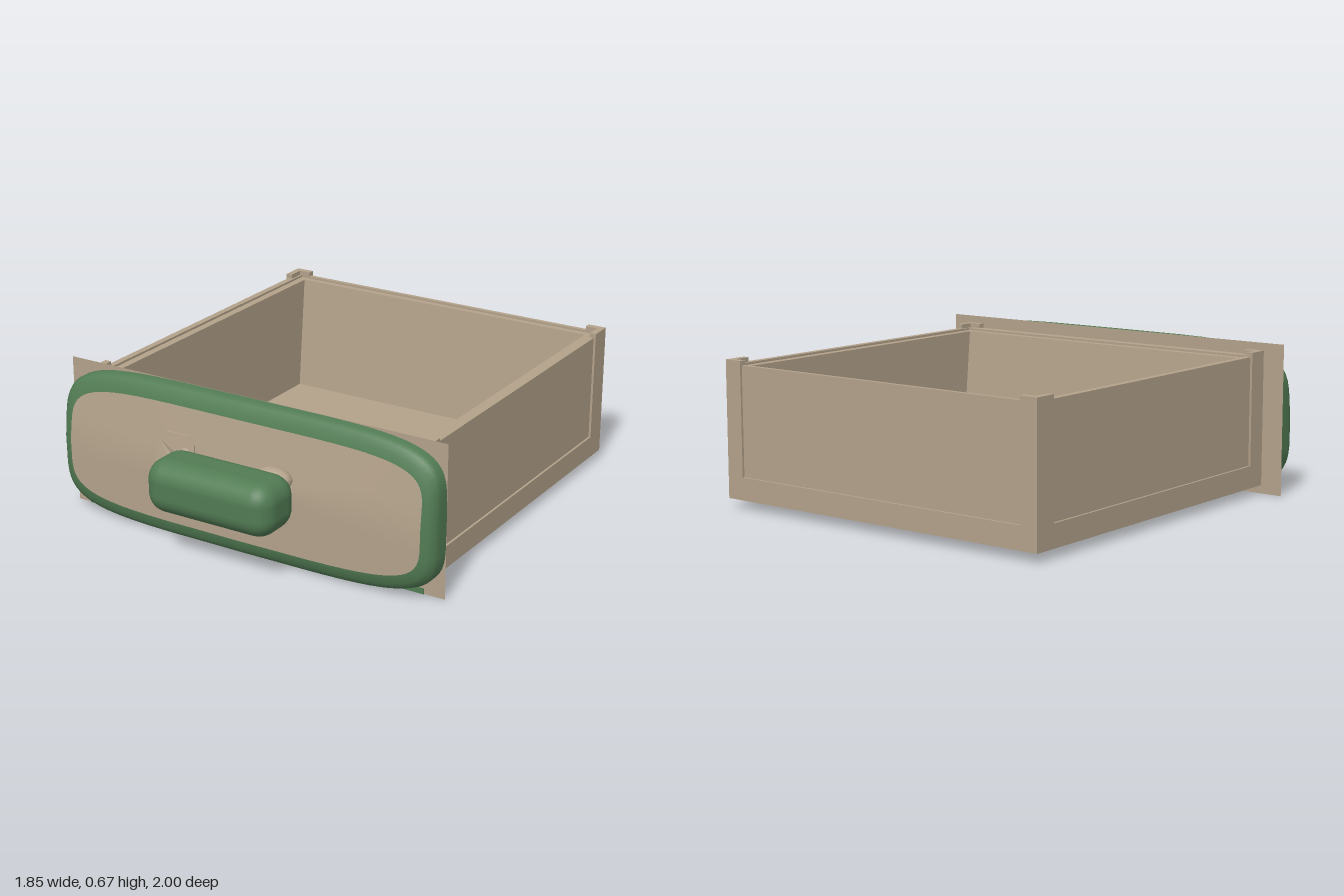
import * as THREE from 'three';
import { RoundedBoxGeometry } from 'three/addons/geometries/RoundedBoxGeometry.js';

const mat = (name, color, side = THREE.FrontSide) => {
  const m = new THREE.MeshStandardMaterial({ color, side });
  m.name = name;
  return m;
};

// Depth of the bowed drawer front: fullest low down, leaning back at the top
const frontDepth = (x, y) =>
  (0.12 - 0.16 * Math.max(0, y - 0.35)) * (1 - 0.1 * (x / 0.925) ** 2);

// Skin over rounded-rectangle rings given as [halfWidth, halfHeight, centreY, depthFraction]
function ringSkin(rings, n = 5, seg = 64) {
  const pos = [], idx = [];
  const pw = v => Math.sign(v) * Math.abs(v) ** (2 / n);
  rings.forEach(([hx, hy, cy, t]) => {
    for (let j = 0; j < seg; j++) {
      const a = (j / seg) * Math.PI * 2;
      const x = hx * pw(Math.cos(a)), y = cy + hy * pw(Math.sin(a));
      pos.push(x, y, 0.64 + t * frontDepth(x, y));
    }
  });
  for (let i = 0; i < rings.length - 1; i++) {
    for (let j = 0; j < seg; j++) {
      const a = i * seg + j, b = i * seg + (j + 1) % seg;
      idx.push(a, b, b + seg, a, b + seg, a + seg);
    }
  }
  const g = new THREE.BufferGeometry();
  g.setAttribute('position', new THREE.Float32BufferAttribute(pos, 3));
  g.setIndex(idx);
  g.computeVertexNormals();
  return g;
}

export function createModel() {
  const group = new THREE.Group();
  const wood = mat('tan wood', 0xb3a28b);
  const panel = mat('tan wood sheet', 0xb3a28b, THREE.DoubleSide);
  const green = mat('green paint', 0x527c54);

  const add = (name, geo, m) => {
    const mesh = new THREE.Mesh(geo, m);
    mesh.name = name;
    group.add(mesh);
    return mesh;
  };
  // Box from its limits on each axis
  const box = (name, x0, x1, y0, y1, z0, z1, m = wood) =>
    add(name, new THREE.BoxGeometry(Math.abs(x1 - x0), y1 - y0, Math.abs(z1 - z0)), m)
      .position.set((x0 + x1) / 2, (y0 + y1) / 2, (z0 + z1) / 2);

  // Floor, recessed a little underneath
  box('floor', -0.755, 0.755, 0.05, 0.08, -0.94, 0.54);

  // Side walls with a stepped rim, bottom rail and corner posts
  for (const s of [-1, 1]) {
    box('sideWallInner', s * 0.755, s * 0.79, 0.04, 0.61, -0.97, 0.575);
    box('sideWallOuter', s * 0.79, s * 0.82, 0.04, 0.62, -0.99, 0.62);
    box('sideRail', s * 0.82, s * 0.83, 0.04, 0.14, -1, 0.63);
    box('sidePost', s * 0.8, s * 0.83, 0.04, 0.64, -1, -0.895);
    box('sidePost', s * 0.8, s * 0.83, 0.04, 0.64, 0.535, 0.63);
  }

  // Front and back walls: inner faces slope in towards the floor
  const ends = [
    { name: 'front', top: 0.54, low: 0.49, mid: 0.575, out: 0.62, face: 0.63 },
    { name: 'back', top: -0.94, low: -0.89, mid: -0.97, out: -0.99, face: -1 },
  ];
  for (const e of ends) {
    const shape = new THREE.Shape([
      [e.mid, 0.04], [e.mid, 0.61], [e.top, 0.61], [e.low, 0.08], [e.top, 0.08], [e.top, 0.04],
    ].map(p => new THREE.Vector2(...p)));
    const g = new THREE.ExtrudeGeometry(shape, { depth: 1.51, bevelEnabled: false });
    g.rotateY(-Math.PI / 2).translate(0.755, 0, 0);
    add(e.name + 'WallInner', g, wood);
    box(e.name + 'WallOuter', -0.79, 0.79, 0.04, 0.62, e.mid, e.out);
    box(e.name + 'Rail', -0.82, 0.82, 0.04, 0.14, e.out, e.face);
    for (const s of [-1, 1]) {
      box(e.name + 'Post', s * 0.745, s * 0.8, 0.04, 0.64, e.face - Math.sign(e.face) * 0.03, e.face);
    }
  }

  // Flat sheet behind the front, with a painted lower edge
  add('frontSheet', new THREE.PlaneGeometry(1.85, 0.672), panel).position.set(0, 0.336, 0.64);
  box('paintedLowerEdge', -0.86, 0.83, 0, 0.025, 0.641, 0.645, green);

  // Rounded green border and bowed tan face
  add('frontBorder', ringSkin([
    [0.925, 0.335, 0.336, 0], [0.925, 0.335, 0.336, 0.5], [0.917, 0.325, 0.336, 0.75],
    [0.897, 0.298, 0.336, 0.94], [0.868, 0.262, 0.338, 1],
  ]), green);
  add('frontFace', ringSkin([1, 0.8, 0.6, 0.4, 0.2, 0].map(
    k => [0.868 * k, 0.262 * k, 0.338, 1])), wood);

  // Uneven low pad behind the handle
  const pad = new THREE.ExtrudeGeometry(new THREE.Shape([
    [-0.4, 0.25], [-0.36, 0.16], [-0.25, 0.135], [-0.05, 0.14], [0, 0.16], [0.2, 0.165],
    [0.26, 0.22], [0.2, 0.3], [-0.2, 0.35], [-0.21, 0.45], [-0.24, 0.485], [-0.35, 0.485],
    [-0.39, 0.45], [-0.4, 0.35], [-0.3, 0.32],
  ].map(p => new THREE.Vector2(...p))), { depth: 0.02, bevelEnabled: false });
  const p = pad.attributes.position;
  for (let i = 0; i < p.count; i++) {
    p.setZ(i, p.getZ(i) + 0.628 + frontDepth(p.getX(i), p.getY(i)));
  }
  pad.computeVertexNormals();
  add('handlePad', pad, wood);

  // Plump handle with tan fillets where it meets the face
  add('handle', new RoundedBoxGeometry(0.615, 0.235, 0.25, 5, 0.088), green)
    .position.set(0.003, 0.337, 0.875);
  for (const [x, y, z, rx, ry, rz] of [
    [0.2, 0.41, 0.775, 0.085, 0.047, 0.055], [-0.25, 0.39, 0.755, 0.035, 0.045, 0.025],
  ]) {
    add('handleFillet', new THREE.SphereGeometry(1, 16, 10).scale(rx, ry, rz), wood)
      .position.set(x, y, z);
  }
  return group;
}
